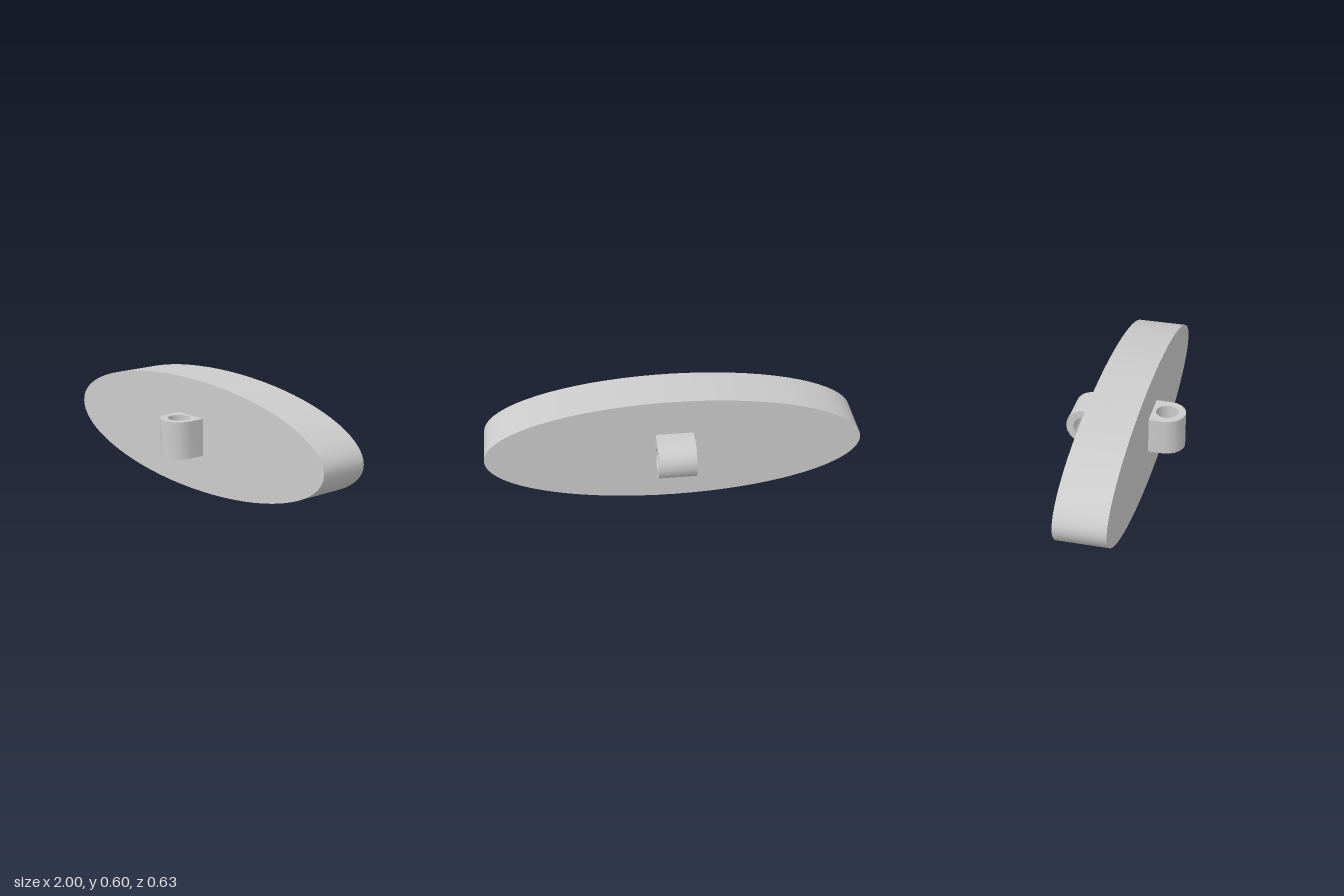
import * as THREE from 'three';
import { toCreasedNormals } from 'three/addons/utils/BufferGeometryUtils.js';

const material = new THREE.MeshStandardMaterial({ color: 0xcccccc });
const THICKNESS = 0.27;

// Points on an arc, angles in radians
function arc(radius, start, end, segments) {
  return Array.from({ length: segments + 1 }, (_, i) => {
    const a = start + ((end - start) * i) / segments;
    return new THREE.Vector2(radius * Math.cos(a), radius * Math.sin(a));
  });
}

// D-shaped lug with a round hole, upright bore, rounded end towards +z
function lugGeometry() {
  const r = 0.1, root = -0.08;
  const shape = new THREE.Shape([
    new THREE.Vector2(-r, root),
    new THREE.Vector2(r, root),
    ...arc(r, 0, Math.PI, 10),
  ]);
  shape.holes.push(new THREE.Path(arc(0.06, 0, -2 * Math.PI, 18).slice(0, 18).map(
    (p) => new THREE.Vector2(-p.y, p.x))));
  const geometry = new THREE.ExtrudeGeometry(shape, { depth: 2 * r, bevelEnabled: false });
  geometry.translate(0, 0, -r).rotateX(Math.PI / 2);
  geometry.translate(0, 0, THICKNESS / 2 - root);
  return toCreasedNormals(geometry, Math.PI / 5);
}

export function createModel() {
  const group = new THREE.Group();
  const add = (name, geometry) => {
    const mesh = new THREE.Mesh(geometry, material);
    mesh.name = name;
    mesh.position.y = 0.3;
    group.add(mesh);
  };

  // Elliptical plate
  add('plate', new THREE.CylinderGeometry(1, 1, THICKNESS, 72)
    .rotateX(Math.PI / 2).scale(1, 0.3, 1));

  // Front lug has an upright bore, back lug a sideways one
  add('frontLug', lugGeometry());
  add('backLug', lugGeometry().rotateZ(Math.PI / 2).rotateY(Math.PI));

  return group;
}
